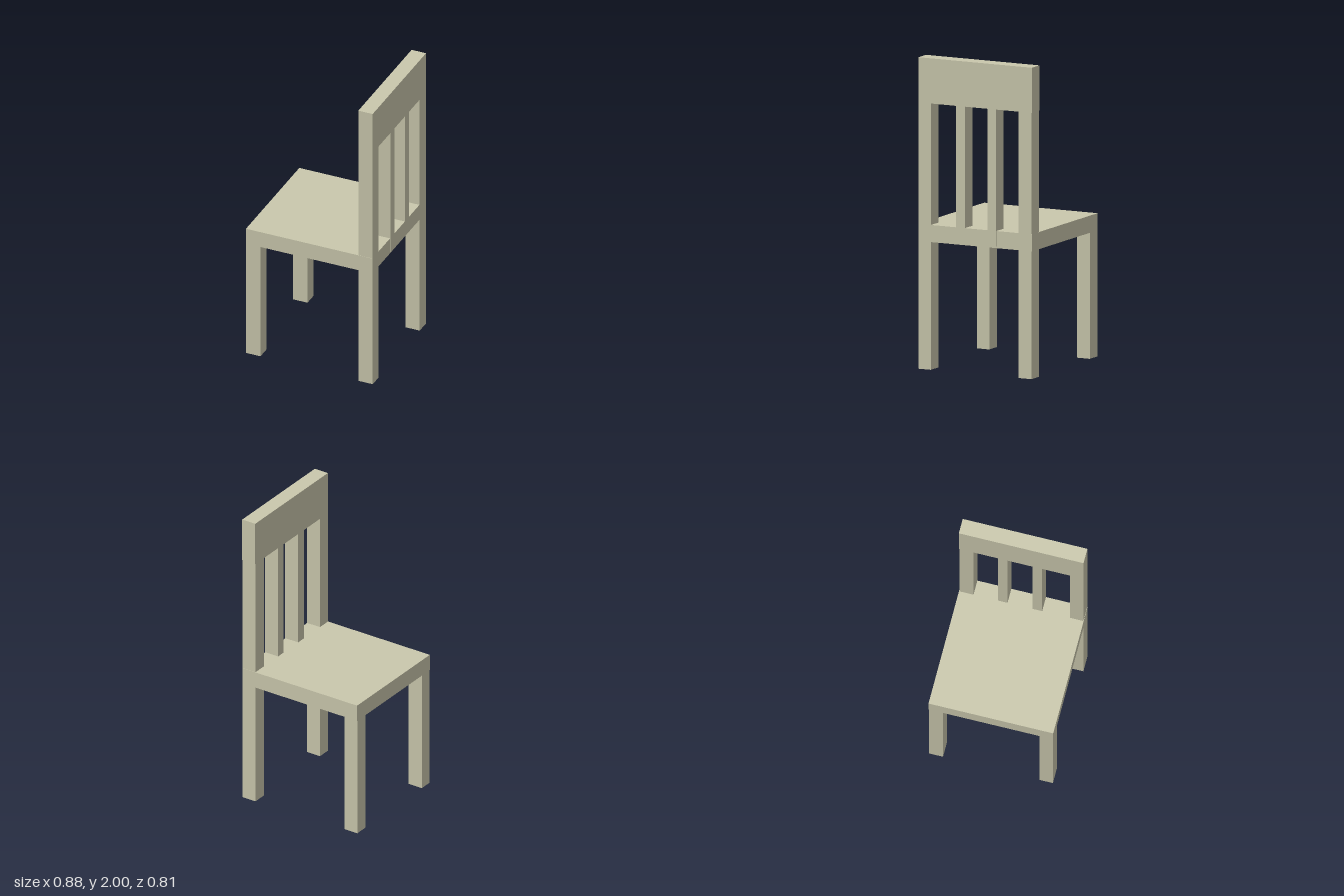
import * as THREE from 'three';

const material = new THREE.MeshStandardMaterial({ color: 0xcac8ad, flatShading: true });

// Box given by its lower and upper limits on each axis
function block(name, [x0, x1], [y0, y1], [z0, z1]) {
  const geometry = new THREE.BoxGeometry(x1 - x0, y1 - y0, z1 - z0);
  geometry.translate((x0 + x1) / 2, (y0 + y1) / 2, (z0 + z1) / 2);
  const mesh = new THREE.Mesh(geometry, material);
  mesh.name = name;
  return mesh;
}

export function createModel() {
  const chair = new THREE.Group();
  chair.name = 'chair';

  const backDepth = [0.34, 0.44];

  // Seat slab, its open side towards -x
  chair.add(block('seat', [-0.44, 0.438], [0.82, 0.93], [-0.407, 0.407]));

  // Short front legs and tall rear posts on both sides
  for (const [side, z] of [['Near', [0.317, 0.405]], ['Far', [-0.405, -0.312]]]) {
    chair.add(block('frontLeg' + side, [-0.44, -0.34], [0.01, 0.82], z));
    chair.add(block('backPost' + side, backDepth, [0, 1.71], z));
  }

  // Broad top rail
  chair.add(block('topRail', backDepth, [1.71, 2], [-0.408, 0.406]));

  // Two slats between the seat and the rail
  [[0.073, 0.136], [-0.152, -0.09]].forEach((z, i) => {
    chair.add(block('backSlat' + (i + 1), backDepth, [0.83, 1.71], z));
  });

  return chair;
}
